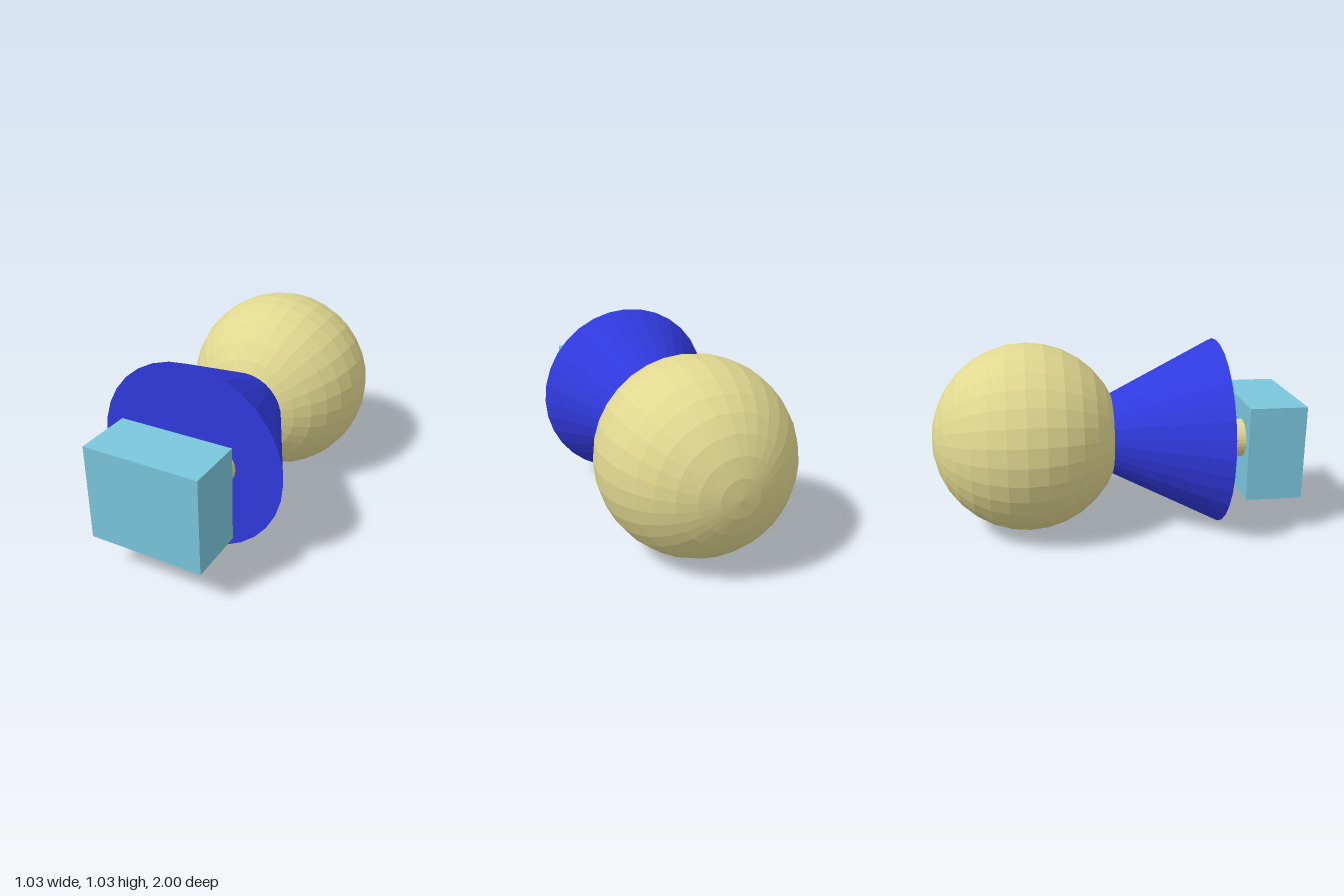
import * as THREE from 'three';

const paint = (name, color) => {
  const material = new THREE.MeshStandardMaterial({ color, flatShading: true });
  material.name = name;
  return material;
};

export function createModel() {
  const group = new THREE.Group();
  group.name = 'lyingFigure';

  const skin = paint('sand', 0xe0d78f);
  const cloth = paint('blue', 0x3039dd);
  const shoe = paint('lightBlue', 0x7ac6dc);

  const axisY = 0.52; // height of the body axis, which runs along z
  const radius = 0.517;

  const add = (name, geometry, material, x, y, z) => {
    const mesh = new THREE.Mesh(geometry, material);
    mesh.name = name;
    mesh.position.set(x, y, z);
    group.add(mesh);
  };

  // Head: ball with its poles on the body axis
  add('head', new THREE.SphereGeometry(radius, 32, 16).rotateX(-Math.PI / 2), skin, 0, axisY, -0.483);

  // Skirt: cone whose tip is buried in the head
  const skirtLength = radius * 2;
  add('skirt', new THREE.ConeGeometry(radius, skirtLength, 32).rotateX(-Math.PI / 2), cloth,
    0, axisY, 0.565 - skirtLength / 2);

  // Legs
  for (const [name, side] of [['leftLeg', 1], ['rightLeg', -1]]) {
    add(name, new THREE.CylinderGeometry(0.103, 0.103, 0.17, 32).rotateX(-Math.PI / 2), skin,
      side * 0.155, axisY, 0.625);
  }

  // Foot block
  add('footBlock', new THREE.BoxGeometry(0.62, 0.517, 0.31), shoe, 0, 0.468, 0.845);

  return group;
}
